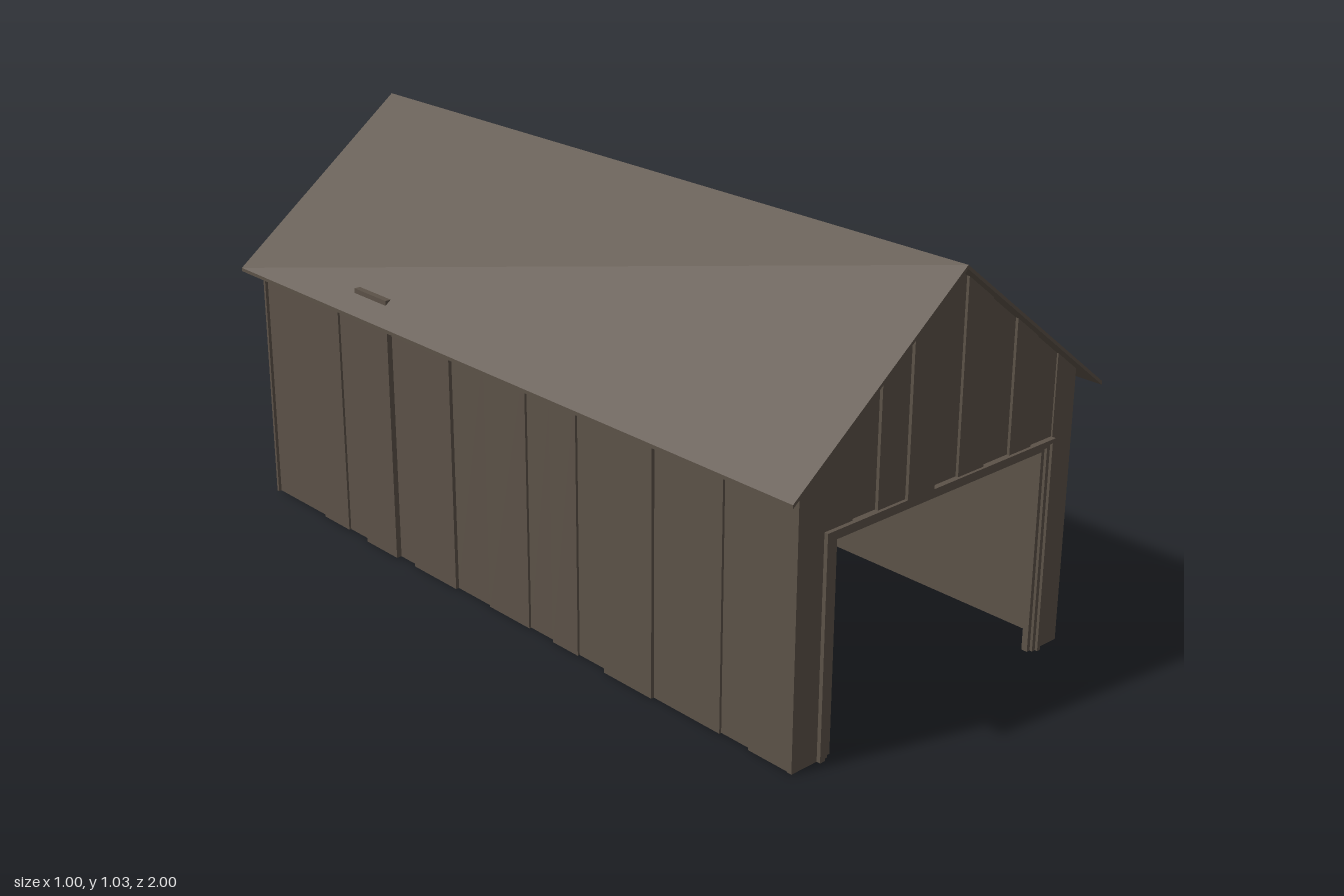
import * as THREE from 'three';

const wood = new THREE.MeshStandardMaterial({ color: 0x5c5248 });
wood.name = 'weathered wood';

const RIDGE = 1.03, SLOPE = 0.77, ROOF_T = 0.009;
// height of the roof underside at x
const under = (x) => RIDGE - ROOF_T - SLOPE * Math.abs(x);

export function createModel() {
  const model = new THREE.Group();
  model.name = 'shed';

  const add = (name, geometry, parent = model) => {
    const mesh = new THREE.Mesh(geometry, wood);
    mesh.name = name;
    parent.add(mesh);
    return mesh;
  };
  // flat outline in x and y, extruded from z0 to z1
  const slab = (name, points, z0, z1, parent) => {
    const shape = new THREE.Shape(points.map(([x, y]) => new THREE.Vector2(x, y)));
    const g = new THREE.ExtrudeGeometry(shape, { depth: z1 - z0, bevelEnabled: false });
    return add(name, g.translate(0, 0, z0), parent);
  };
  const group = (name) => {
    const g = new THREE.Group();
    g.name = name;
    model.add(g);
    return g;
  };

  // thin gabled roof
  const eave = RIDGE - SLOPE * 0.5;
  slab('roof', [
    [-0.5, eave], [-0.5, eave - ROOF_T], [0, RIDGE - ROOF_T],
    [0.5, eave - ROOF_T], [0.5, eave], [0, RIDGE],
  ], -1, 1);

  // plain back wall
  slab('backWall', [
    [-0.45, 0], [0.445, 0], [0.445, under(0.445)], [0, under(0)], [-0.45, under(0.45)],
  ], -0.98, -0.972);

  // front wall with a doorway
  const L = -0.33, R = 0.34, DOOR = 0.505;
  slab('frontWall', [
    [-0.445, 0], [L, 0], [L, DOOR], [R, DOOR], [R, 0], [0.44, 0],
    [0.44, under(0.44)], [0, under(0)], [-0.445, under(0.445)],
  ], 0.952, 0.96);

  // stepped door frame
  const frame = group('doorFrame');
  [0.966, 0.973, 0.98].forEach((z, i) => {
    const a = 0.0145 * i, b = a + 0.0145;
    slab('frameStep', [
      [L - b, 0], [L - a, 0], [L - a, DOOR + a * 0.7], [R + a * 0.7, DOOR + a * 0.7],
      [R + a * 0.7, 0], [R + b * 0.7, 0], [R + b * 0.7, DOOR + b * 0.7], [L - b, DOOR + b * 0.7],
    ], 0.95, z, frame);
  });

  // front boards, trimmed to the roof line
  const boards = group('frontBoards');
  const xs = [-0.45, -0.36, -0.29, -0.215, -0.13, -0.045, 0.04, 0.125, 0.215, 0.29, 0.37, 0.44];
  const zs = [0.97, 0.97, 0.964, 0.972, 0.98, 0.966, 0.973, 0.965, 0.972, 0.966, 0.97];
  zs.forEach((z, i) => {
    const [a, b] = [xs[i], xs[i + 1]];
    const low = i === 0 || i === zs.length - 1 ? 0 : 0.535;
    const top = a < 0 && b > 0
      ? [[b, under(b)], [0, under(0)], [a, under(a)]]
      : [[b, under(b)], [a, under(a)]];
    slab('board', [[a, low], [b, low], ...top], 0.958, z, boards);
  });

  // side walls of boards: edges along z, outer face and board height
  const sideWall = (name, side, inner, edges, faces, tall) => {
    const g = group(name);
    faces.forEach((face, i) => {
      const depth = edges[i] - edges[i + 1];
      const height = tall.includes(i) ? 0.692 : under(face);
      const box = new THREE.BoxGeometry(face - inner, height, depth);
      box.translate(side * (face + inner) / 2, height / 2, (edges[i] + edges[i + 1]) / 2);
      add('board', box, g);
    });
  };
  sideWall('leftWall', 1, 0.425,
    [0.965, 0.915, 0.75, 0.67, 0.5, 0.42, 0.33, 0.11, 0.03, -0.13, -0.36, -0.42, -0.51, -0.59, -0.75, -0.98],
    [0.44, 0.446, 0.437, 0.442, 0.45, 0.436, 0.445, 0.437, 0.443, 0.438, 0.445, 0.437, 0.432, 0.45, 0.44],
    [4, 13]);
  sideWall('rightWall', -1, 0.43,
    [0.965, 0.84, 0.75, 0.54, 0.38, 0.28, 0.19, 0.1, -0.05, -0.18, -0.35, -0.42, -0.55, -0.64, -0.75, -0.98],
    [0.448, 0.441, 0.447, 0.455, 0.442, 0.448, 0.44, 0.446, 0.441, 0.45, 0.441, 0.455, 0.443, 0.449, 0.442],
    [11]);

  return model;
}
